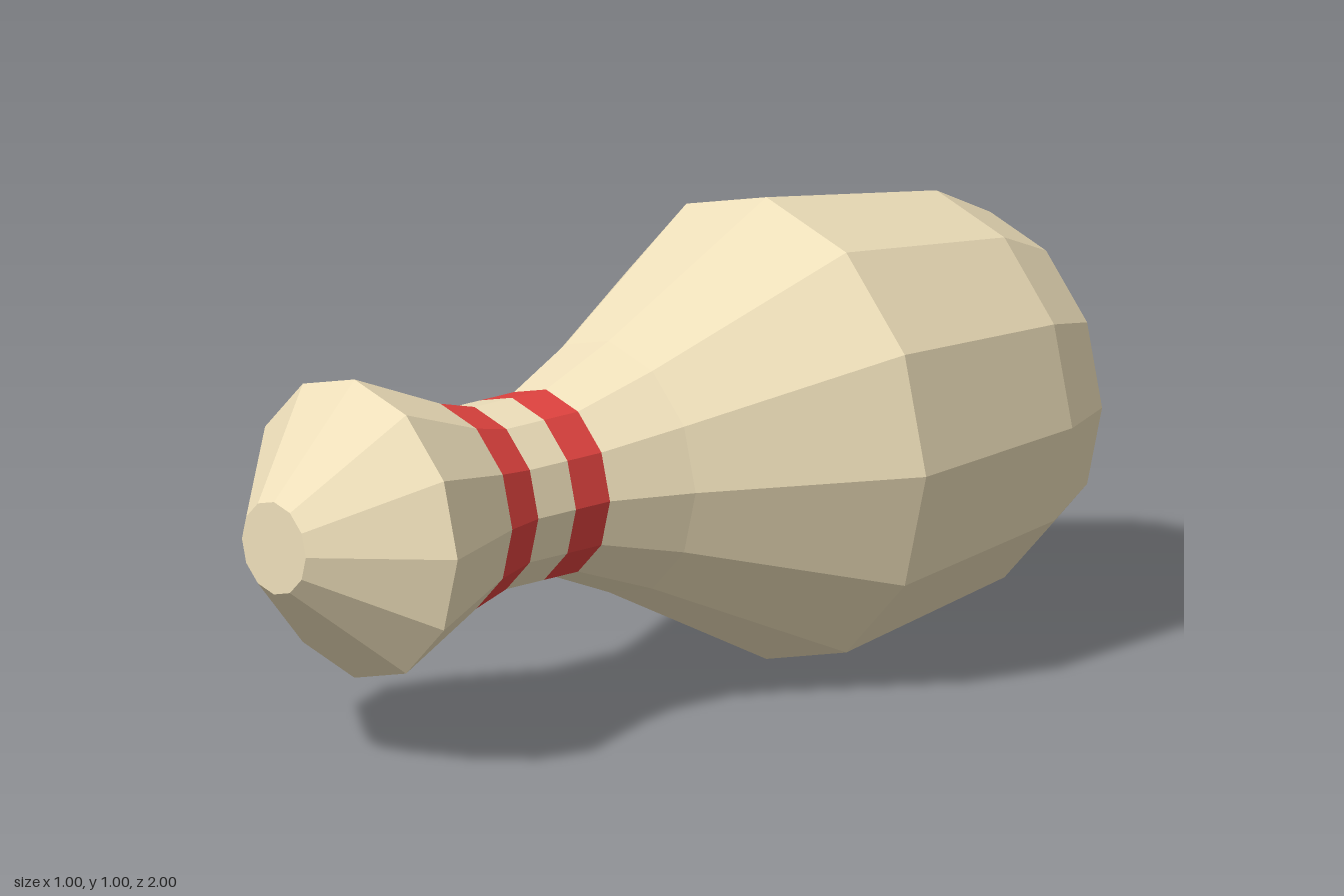
import * as THREE from 'three';

const SIDES = 12;
const cream = new THREE.MeshStandardMaterial({ color: 0xeedfba, flatShading: true });
const red = new THREE.MeshStandardMaterial({ color: 0xe0433f, flatShading: true });

// Turned section lying along z; profile is [radius, z] from back to front
function section(name, profile, material) {
  const points = profile.map(([r, z]) => new THREE.Vector2(r, z));
  const geometry = new THREE.LatheGeometry(points, SIDES).rotateX(Math.PI / 2);
  const mesh = new THREE.Mesh(geometry, material);
  mesh.name = name;
  mesh.position.y = 0.5;
  return mesh;
}

export function createModel() {
  const pin = new THREE.Group();
  pin.name = 'bowlingPin';
  pin.add(
    // Flat base, belly and tapering shoulder
    section('body', [[0, -1], [0.35, -1], [0.425, -0.85], [0.5, -0.375], [0.272, 0.065], [0.2, 0.24]], cream),
    // Neck with a stripe on either side
    section('lowerStripe', [[0.2, 0.24], [0.2, 0.335]], red),
    section('neck', [[0.2, 0.335], [0.2, 0.44]], cream),
    section('upperStripe', [[0.2, 0.44], [0.225, 0.535]], red),
    // Flared head closed by a small flat tip
    section('head', [[0.225, 0.535], [0.323, 0.775], [0.1, 1], [0, 1]], cream),
  );
  return pin;
}
